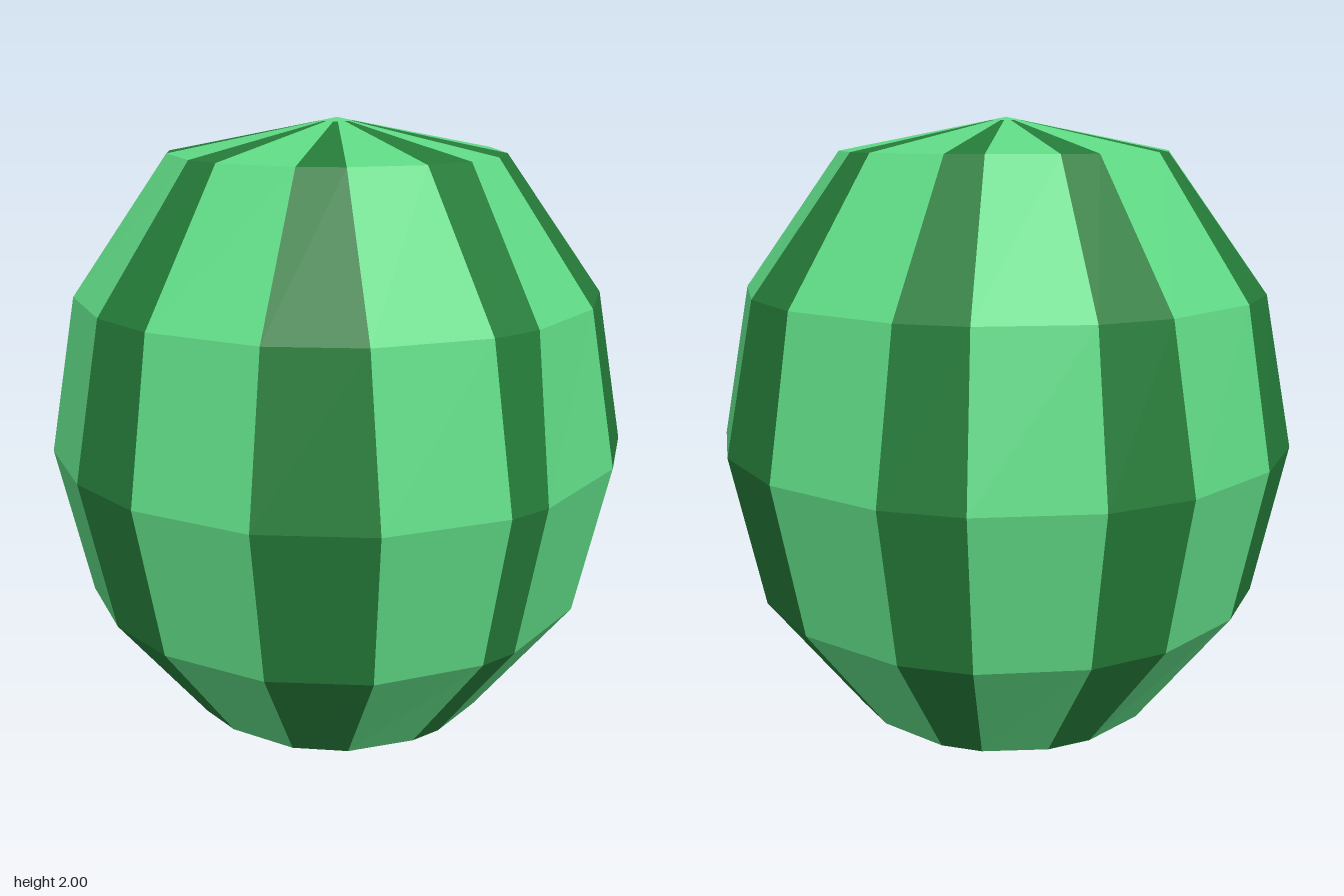
import * as THREE from 'three';

// Stripe edges in degrees around y (0 = front, 90 = left side), dark stripe first
const middle = [2.5, 24, 47.5, 56, 81, 100.2, 120, 140.4, 164.6, 180, 203, 220, 242.6, 261, 283.5, 301.7, 322, 339.2];
const upper = [4.6, 19.7, 45, 63, 81.3, 99, 125.5, 138.3, 167.4, 180, 202.8, 216, 245, 254, 283.2, 296, 323, 337];

// Rings from bottom to top: height, radius, blend towards the upper stripe edges, twist
const rings = [
  { y: 0, r: 0, blend: 0, twist: 0 },
  { y: 0.013, r: 0.05, blend: 0.3, twist: -2 },
  { y: 0.13, r: 0.51, blend: 0.3, twist: -2 },
  { y: 0.54, r: 0.81, blend: 0, twist: 0 },
  { y: 1.02, r: 0.903, blend: 0, twist: 0 },
  { y: 1.49, r: 0.81, blend: 0.3, twist: 0 },
  { y: 1.9, r: 0.512, blend: 1, twist: 0 },
  { y: 1.99, r: 0.05, blend: 1, twist: 0 },
  { y: 2, r: 0, blend: 1, twist: 0 },
];

function pointOn(ring, i) {
  const k = i % middle.length;
  const degrees = THREE.MathUtils.lerp(middle[k], upper[k], ring.blend) + ring.twist;
  const a = THREE.MathUtils.degToRad(degrees);
  return [ring.r * Math.sin(a), ring.y, ring.r * Math.cos(a)];
}

// Faceted strips between two ring levels, for every stripe accepted by the filter
function stripes(accept) {
  const positions = [];
  for (let level = 0; level < rings.length - 1; level++) {
    const low = rings[level], high = rings[level + 1];
    const atPole = low.r === 0 || high.r === 0;
    for (let i = 0; i < middle.length; i++) {
      if (!accept(i, atPole)) continue;
      const a = pointOn(low, i), b = pointOn(low, i + 1);
      const c = pointOn(high, i + 1), d = pointOn(high, i);
      if (low.r > 0) positions.push(...a, ...b, ...c);
      if (high.r > 0) positions.push(...a, ...c, ...d);
      // The pole triangles collapse one edge of the quad
    }
  }
  const geometry = new THREE.BufferGeometry();
  geometry.setAttribute('position', new THREE.Float32BufferAttribute(positions, 3));
  geometry.computeVertexNormals();
  return geometry;
}

export function createModel() {
  const group = new THREE.Group();
  group.name = 'stripedMelon';

  const lightGreen = new THREE.MeshStandardMaterial({ color: 0x5fd985 });
  lightGreen.name = 'light green rind';
  lightGreen.flatShading = true;
  const darkGreen = new THREE.MeshStandardMaterial({ color: 0x257b39 });
  darkGreen.name = 'dark green stripe';
  darkGreen.flatShading = true;

  // Light rind, closed at both poles
  const rind = new THREE.Mesh(stripes((i, atPole) => atPole || i % 2 === 1), lightGreen);
  rind.name = 'lightRind';
  // Dark stripes stop just short of the poles
  const dark = new THREE.Mesh(stripes((i, atPole) => !atPole && i % 2 === 0), darkGreen);
  dark.name = 'darkStripes';

  group.add(rind, dark);
  return group;
}
